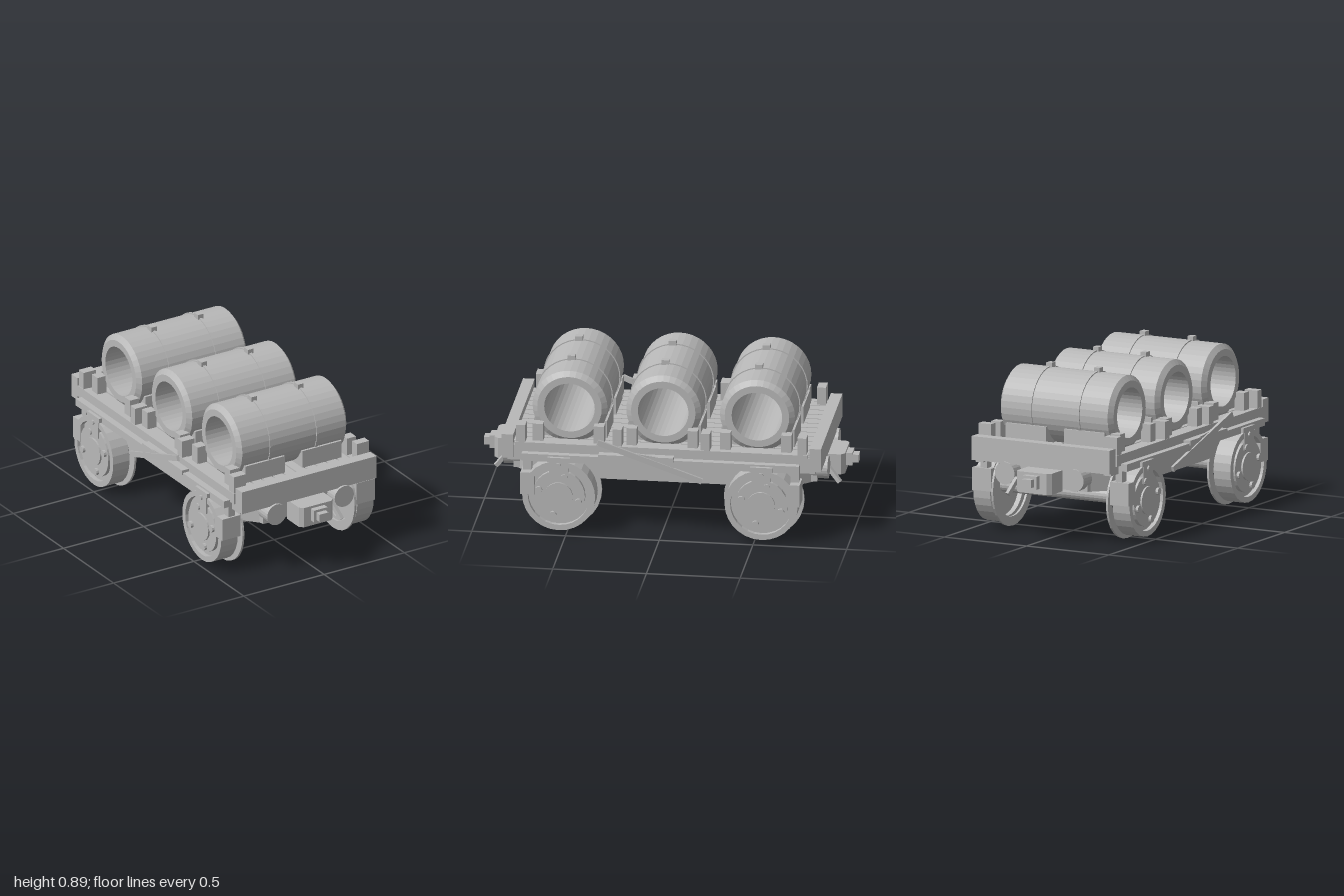
import * as THREE from 'three';

const grey = new THREE.MeshStandardMaterial({ color: 0xb8b8b8, flatShading: true });
grey.name = 'plain grey';

export function createModel() {
  const model = new THREE.Group();
  model.name = 'flatWagon';

  const add = (name, geometry, x = 0, y = 0, z = 0) => {
    const mesh = new THREE.Mesh(geometry, grey);
    mesh.name = name;
    mesh.position.set(x, y, z);
    model.add(mesh);
    return mesh;
  };
  // Box given by its limits on each axis
  const box = (name, x0, x1, y0, y1, z0, z1) =>
    add(name, new THREE.BoxGeometry(Math.abs(x1 - x0), y1 - y0, Math.abs(z1 - z0)),
      (x0 + x1) / 2, (y0 + y1) / 2, (z0 + z1) / 2);
  // Bar running between two points
  const bar = (name, a, b, w, h) => {
    const from = new THREE.Vector3(...a), to = new THREE.Vector3(...b);
    const mesh = add(name, new THREE.BoxGeometry(w, h, from.distanceTo(to)));
    mesh.position.copy(from).lerp(to, 0.5);
    mesh.lookAt(to);
    return mesh;
  };
  // Turned part lying along x; profile holds [radius, x]
  const turned = (profile, segments) => new THREE.LatheGeometry(
    profile.map(([r, x]) => new THREE.Vector2(r, x)), segments).rotateZ(-Math.PI / 2);
  const rod = (r, length, segments) =>
    new THREE.CylinderGeometry(r, r, length, segments).rotateZ(Math.PI / 2);

  const sides = [-1, 1];

  // Chassis with cut corners
  const plan = new THREE.Shape([
    [-0.25, -0.79], [0.25, -0.79], [0.345, -0.68], [0.345, 0.68],
    [0.25, 0.79], [-0.25, 0.79], [-0.345, 0.68], [-0.345, -0.68],
  ].map(p => new THREE.Vector2(...p)));
  add('chassis', new THREE.ExtrudeGeometry(plan, { depth: 0.16, bevelEnabled: false })
    .rotateX(-Math.PI / 2), 0, 0.28, 0);

  // Deck made of lengthwise planks
  box('deckBase', -0.4, 0.4, 0.42, 0.478, -0.8, 0.8);
  const planks = 12, pitch = 0.8 / planks;
  for (let i = 0; i < planks; i++) {
    const x = -0.4 + (i + 0.5) * pitch;
    box('deckPlank', x - pitch / 2 + 0.004, x + pitch / 2 - 0.004, 0.47, 0.488, -0.79, 0.79);
  }

  // Barrels: hollow, bevelled, with two clamped bands each
  const barrelGeometry = turned([
    [0.135, -0.343], [0.172, -0.343], [0.2, -0.322], [0.2, 0.322],
    [0.172, 0.343], [0.135, 0.343], [0.135, -0.343],
  ], 36);
  const bandGeometry = turned([
    [0.195, -0.007], [0.206, -0.007], [0.206, 0.007], [0.195, 0.007],
  ], 36);
  // Wedge that cradles a barrel, drawn as z and y
  const wedge = new THREE.Shape([
    [0.09, 0.48], [0.195, 0.48], [0.195, 0.585], [0.17, 0.585], [0.13, 0.525],
  ].map(p => new THREE.Vector2(...p)));
  const wedgeGeometry = new THREE.ExtrudeGeometry(wedge, { depth: 0.245, bevelEnabled: false })
    .translate(0, 0, -0.1225).rotateY(-Math.PI / 2);

  for (const z of [-0.5, 0, 0.5]) {
    add('barrel', barrelGeometry, 0, 0.667, z);
    for (const s of sides) {
      add('barrelBand', bandGeometry, s * 0.145, 0.667, z);
      box('bandClamp', s * 0.145 - 0.017, s * 0.145 + 0.017, 0.855, 0.891, z - 0.005, z + 0.035);
      for (const t of sides) {
        add('barrelWedge', wedgeGeometry, s * 0.1775, 0, z).rotation.y = t > 0 ? 0 : Math.PI;
        box('wedgeBlock', s * 0.335, s * 0.392, 0.48, 0.585, z + t * 0.135, z + t * 0.19);
      }
    }
  }

  // Wheel: recessed on both faces, with a thin flange inside
  const wheelGeometry = turned([
    [0, 0.4], [0.165, 0.4], [0.165, 0.373], [0.195, 0.373], [0.195, 0.475], [0.165, 0.475],
    [0.165, 0.45], [0.14, 0.45], [0.14, 0.472], [0.075, 0.472], [0.075, 0.482], [0, 0.482],
  ], 28);
  const flangeGeometry = turned([
    [0.165, 0.343], [0.215, 0.343], [0.215, 0.355], [0.165, 0.355], [0.165, 0.343],
  ], 28);

  for (const s of sides) {
    // Side frame and edge trim
    box('sideSill', s * 0.34, s * 0.462, 0.4, 0.44, -0.74, 0.74);
    box('sidePanel', s * 0.34, s * 0.37, 0.285, 0.41, -0.66, 0.66);
    box('deckEdge', s * 0.385, s * 0.425, 0.43, 0.49, -0.78, 0.78);
    box('sillPlate', s * 0.42, s * 0.467, 0.43, 0.455, -0.07, 0.33);

    // Brake lever and its shorter stay
    bar('brakeLever', [s * 0.492, 0.535, 0.33], [s * 0.445, 0.325, -0.22], 0.016, 0.03);
    bar('leverStay', [s * 0.472, 0.47, 0.17], [s * 0.44, 0.42, -0.12], 0.014, 0.02);

    for (const t of sides) {
      // Wheels, flanges and bolts
      const z = t * 0.54;
      add('wheel', wheelGeometry, 0, 0.216, z).rotation.y = s > 0 ? 0 : Math.PI;
      add('wheelFlange', flangeGeometry, 0, 0.216, z).rotation.y = s > 0 ? 0 : Math.PI;
      for (let i = 0; i < 4; i++) {
        const a = 0.28 + i * Math.PI / 2;
        add('wheelBolt', rod(0.019, 0.03, 10), s * 0.472,
          0.216 + 0.11 * Math.cos(a), z - 0.11 * Math.sin(a));
      }
      // Axle bracket, brake shoe and hanger
      box('axleBracket', s * 0.42, s * 0.479, 0.31, 0.43, z - 0.05, z + 0.05);
      box('bracketCap', s * 0.42, s * 0.479, 0.405, 0.43, z - 0.06, z + 0.06);
      add('bracketBolt', rod(0.014, 0.02, 8), s * 0.478, 0.388, z);
      box('brakeShoe', s * 0.362, s * 0.475, 0.215, 0.338, t * 0.67, t * 0.745);
      box('shoeHanger', s * 0.39, s * 0.43, 0.33, 0.44, t * 0.69, t * 0.735);

      // Stakes along the deck edge
      for (const p of [0.235, 0.75])
        box('deckStake', s * 0.345, s * 0.422, 0.44, 0.585, t * p - 0.024, t * p + 0.024);
      box('cornerBracket', s * 0.365, s * 0.412, 0.385, 0.47, t * 0.74, t * 0.82);

      // End buffers
      add('buffer', new THREE.CylinderGeometry(0.06, 0.06, 0.09, 24).rotateX(Math.PI / 2),
        s * 0.21, 0.35, t * 0.82);
      box('bufferFoot', s * 0.22, s * 0.262, 0.285, 0.32, t * 0.76, t * 0.81);
    }
  }

  // Coupler housing outline with clipped corners, drawn as x and outward distance
  const housing = new THREE.Shape([
    [-0.105, 0], [0.105, 0], [0.105, 0.115], [0.085, 0.135], [-0.085, 0.135], [-0.105, 0.115],
  ].map(p => new THREE.Vector2(...p)));
  const housingGeometry = new THREE.ExtrudeGeometry(housing, { depth: 0.113, bevelEnabled: false })
    .rotateX(-Math.PI / 2).rotateY(Math.PI);

  for (const t of sides) {
    add('axle', rod(0.041, 0.82, 18), 0, 0.22, t * 0.54);
    box('endBeam', -0.42, 0.42, 0.4, 0.528, t * 0.79, t * 0.852);
    // Coupler and release hook
    add('couplerHousing', housingGeometry, 0, 0.272, t * 0.8).rotation.y = t > 0 ? 0 : Math.PI;
    box('couplerNeck', -0.042, 0.042, 0.302, 0.372, t * 0.92, t * 0.968);
    box('couplerTip', -0.028, 0.028, 0.315, 0.358, t * 0.96, t * 1.0);
    bar('releaseHook', [0.14, 0.33, t * 0.85], [0.16, 0.25, t * 0.918], 0.022, 0.022);
  }

  return model;
}
